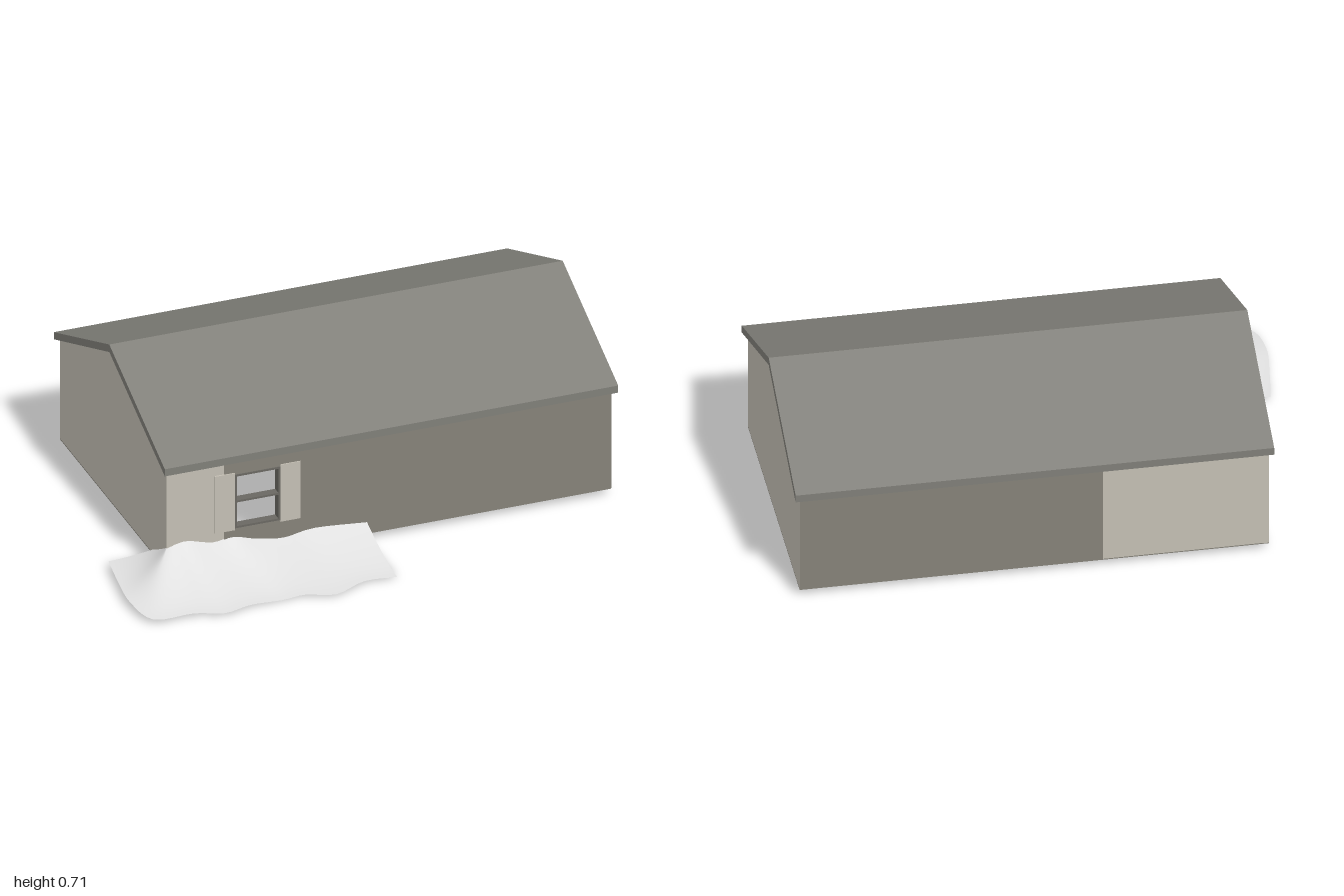
import * as THREE from 'three';

const mat = (name, color, side = THREE.FrontSide) => {
  const m = new THREE.MeshStandardMaterial({ color, side });
  m.name = name;
  return m;
};

export function createModel() {
  const group = new THREE.Group();
  const beige = mat('beige wall', 0xc4bfb4);
  const darkWall = mat('dark wall', 0x858279);
  const roofMat = mat('roof grey', 0x807f79);
  const frameMat = mat('window frame', 0x6a6862);
  const snowMat = mat('snow', 0xe0e0e0, THREE.DoubleSide);

  const add = (name, geometry, material) => {
    const mesh = new THREE.Mesh(geometry, material);
    mesh.name = name;
    group.add(mesh);
    return mesh;
  };
  // Box given by its extents on each axis
  const box = (name, [x0, x1], [y0, y1], [z0, z1], material) =>
    add(name, new THREE.BoxGeometry(x1 - x0, y1 - y0, z1 - z0), material)
      .position.set((x0 + x1) / 2, (y0 + y1) / 2, (z0 + z1) / 2);
  const rect = (C, x0, x1, y0, y1) => new C([[x0, y0], [x1, y0], [x1, y1], [x0, y1]]
    .map(p => new THREE.Vector2(...p)));
  const extrude = (shape, depth) => new THREE.ExtrudeGeometry(shape, { depth, bevelEnabled: false });
  // Profile of [z, y] points, extruded along x
  const alongX = (name, pts, x0, x1, material) => {
    const shape = new THREE.Shape(pts.map(([z, y]) => new THREE.Vector2(-z, y)));
    add(name, extrude(shape, x1 - x0).rotateY(Math.PI / 2).translate(x0, 0, 0), material);
  };

  const L = -0.785, R = 0.98, F = 0.378, B = -0.713, T = 0.026, base = 0.032, mid = -0.17;
  const win = [-0.515, -0.335, 0.157, 0.382];

  // Gable end walls
  const gable = [[F + 0.002, base], [F + 0.002, 0.45], [mid, 0.677], [B - 0.002, 0.45], [B - 0.002, base]];
  alongX('leftGable', gable, R - T, R, beige);
  alongX('rightGable', gable, L, L + T, beige);

  // Front wall, with its dark painted part, both pierced by the window
  const frontPanel = (name, x0, x1, y1, z, depth, material) => {
    const shape = rect(THREE.Shape, x0, x1, base, y1);
    shape.holes.push(rect(THREE.Path, ...win));
    add(name, extrude(shape, depth).translate(0, 0, z), material);
  };
  frontPanel('frontWall', L + T, R - T, 0.455, F - T, T, beige);
  frontPanel('frontDarkPanel', -0.557, R, 0.45, F, 0.003, darkWall);

  // Back wall and its dark painted part
  box('backWall', [L + T, R - T], [base, 0.455], [B, B + T], beige);
  box('backDarkPanel', [-0.16, R], [base, 0.45], [B - 0.003, B], darkWall);

  // Dark underside edge running round the walls
  const ring = rect(THREE.Shape, L, R, -F, -B);
  ring.holes.push(rect(THREE.Path, L + T, R - T, -F + T, -B - T));
  add('baseEdge', extrude(ring, 0.004).rotateX(-Math.PI / 2).translate(0, 0.028, 0), darkWall);

  // Pitched roof slab
  alongX('roof', [[0.4, 0.44], [0.4, 0.47], [mid, 0.707], [-0.74, 0.47], [-0.74, 0.44], [mid, 0.675]],
    -0.8, 1, roofMat);

  // Window frame, cross bar and shutters
  const [wx0, wx1, wy0, wy1] = win, bar = 0.008, depth = [F - T - 0.002, F + 0.006];
  for (const [x0, x1] of [[wx0, wx0 + bar], [wx1 - bar, wx1]])
    box('windowStile', [x0, x1], [wy0, wy1], depth, frameMat);
  for (const y of [wy0, 0.265, wy1 - bar])
    box('windowRail', [wx0 + bar, wx1 - bar], [y, y + bar], depth, frameMat);
  for (const [x0, x1] of [[wx0 - 0.08, wx0], [wx1, wx1 + 0.08]])
    box('shutter', [x0, x1], [0.15, 0.39], [F, F + 0.007], beige);

  // Snow drift wrapping the corner: [wall x, z, y, outer x, z, y] per column
  const columns = [
    [L, 0.235, 0.045, -0.96, 0.235, 0.03],
    [L, 0.31, 0.085, -0.985, 0.4, 0.03],
    [L, 0.37, 0.12, -1, 0.56, 0.03],
    [-0.78, 0.378, 0.125, -0.96, 0.7, 0.02],
    [-0.75, 0.378, 0.132, -0.8, 0.7, 0.015],
    [-0.7, 0.378, 0.137, -0.69, 0.735, 0.012],
    [-0.6, 0.378, 0.112, -0.58, 0.713, 0.014],
    [-0.52, 0.378, 0.122, -0.45, 0.7, 0.002],
    [-0.43, 0.378, 0.097, -0.36, 0.705, 0.01],
    [-0.32, 0.378, 0.08, -0.25, 0.74, 0.008],
    [-0.2, 0.378, 0.097, -0.12, 0.69, 0.012],
    [0.01, 0.378, 0.08, 0.01, 0.69, 0.005],
  ];
  const curve = i => new THREE.CatmullRomCurve3(
    columns.map(c => new THREE.Vector3(c[i], c[i + 2], c[i + 1])), false, 'catmullrom', 0.5);
  const inner = curve(0), outer = curve(3);
  const snow = new THREE.PlaneGeometry(1, 1, 44, 12);
  const pos = snow.attributes.position, uv = snow.attributes.uv;
  for (let i = 0; i < pos.count; i++) {
    const u = uv.getX(i), t = 1 - uv.getY(i);
    const a = inner.getPoint(u), b = outer.getPoint(u);
    const p = a.clone().lerp(b, t);
    p.y = b.y + (a.y - b.y) * Math.pow(1 - t, 1.6);
    pos.setXYZ(i, p.x, Math.max(p.y, 0), p.z);
  }
  snow.computeVertexNormals();
  add('snowDrift', snow, snowMat);

  return group;
}
